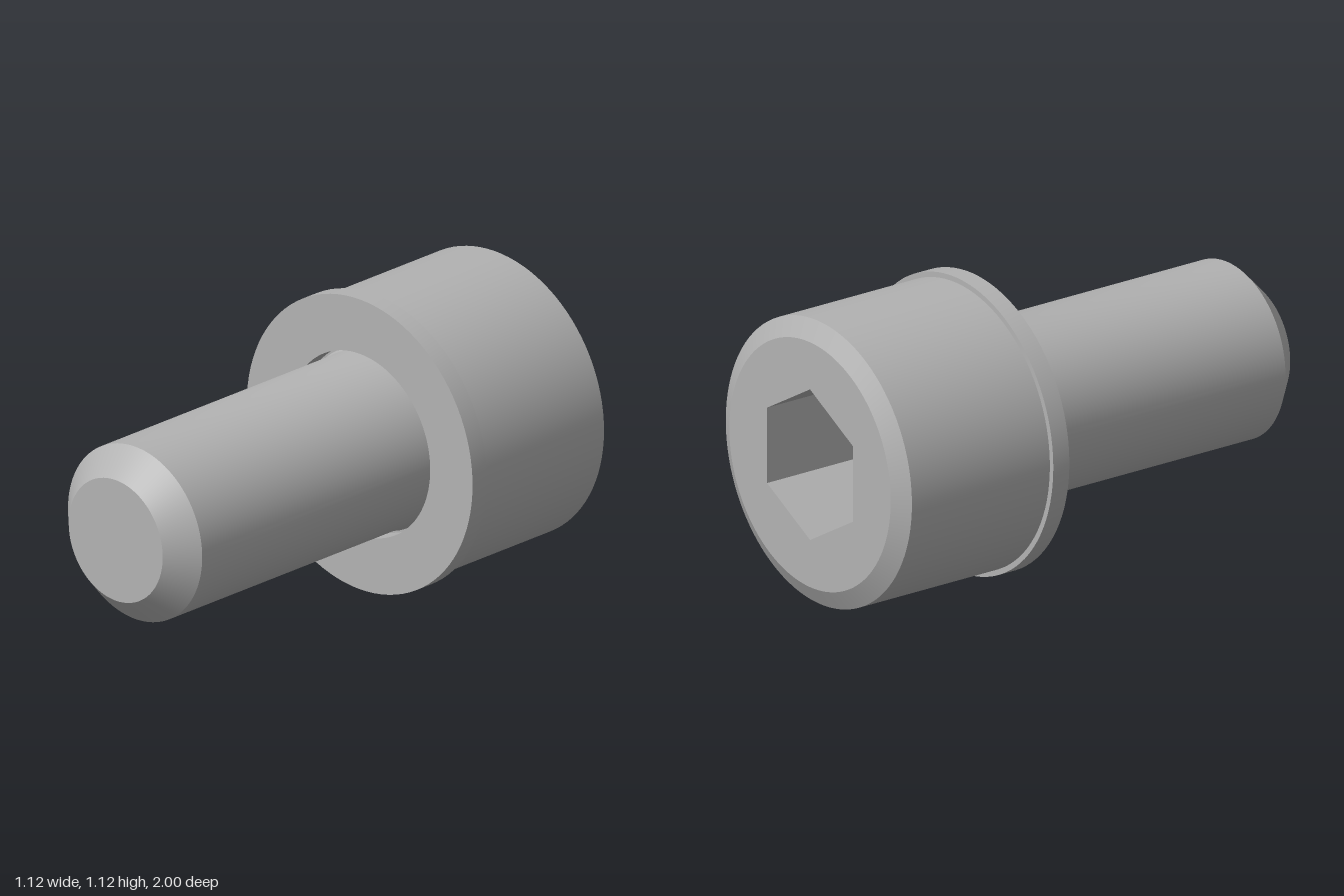
import * as THREE from 'three';
import { toCreasedNormals } from 'three/addons/utils/BufferGeometryUtils.js';

const AXIS_Y = 0.563;
const SOCKET_R = 0.288;
const RIM_R = 0.468;
const SEGMENTS = 96;

export function createModel() {
  const bolt = new THREE.Group();
  bolt.name = 'socketHeadBolt';
  bolt.position.y = AXIS_Y;
  const steel = new THREE.MeshStandardMaterial({ color: 0xb2b2b2 });
  steel.name = 'steelGrey';

  const add = (name, geometry) => {
    const mesh = new THREE.Mesh(geometry, steel);
    mesh.name = name;
    bolt.add(mesh);
  };

  // Turns [radius, z] pairs, listed back to front, around the bolt axis
  const turn = (profile, segments = SEGMENTS) => {
    const points = profile.map(([r, z]) => new THREE.Vector2(r, z));
    const geometry = new THREE.LatheGeometry(points, segments).rotateX(Math.PI / 2);
    return toCreasedNormals(geometry, 0.5);
  };

  // Shaft with a small root flare and a chamfered tip
  add('shaft', turn([[0.342, -0.33], [0.336, -0.322], [0.333, -0.31], [0.333, 0.9], [0.233, 1], [0, 1]]));

  // Washer: closed ring with clearance around the shaft
  add('washer', turn([[0.35, -0.333], [0.56, -0.333], [0.56, -0.26], [0.35, -0.26], [0.35, -0.333]]));

  // Head side, chamfered back rim and underside
  add('head', turn([[RIM_R, -1], [0.54, -0.96], [0.54, -0.333], [0.33, -0.333]]));

  // Flat end of the head, pierced by the hexagon
  const face = new THREE.Shape().absarc(0, 0, RIM_R, 0, Math.PI * 2);
  const hexagon = [];
  for (let i = 0; i < 6; i++) {
    const a = (i * Math.PI) / 3;
    hexagon.push(new THREE.Vector2(SOCKET_R * Math.sin(a), SOCKET_R * Math.cos(a)));
  }
  face.holes.push(new THREE.Path(hexagon));
  add('headFace', new THREE.ShapeGeometry(face, SEGMENTS).rotateY(Math.PI).translate(0, 0, -1));

  // Hexagonal socket: floor and inward-facing walls
  add('hexSocket', turn([[0, -0.5], [SOCKET_R, -0.5], [SOCKET_R, -1]], 6));

  const model = new THREE.Group();
  model.name = 'model';
  model.add(bolt);
  return model;
}
